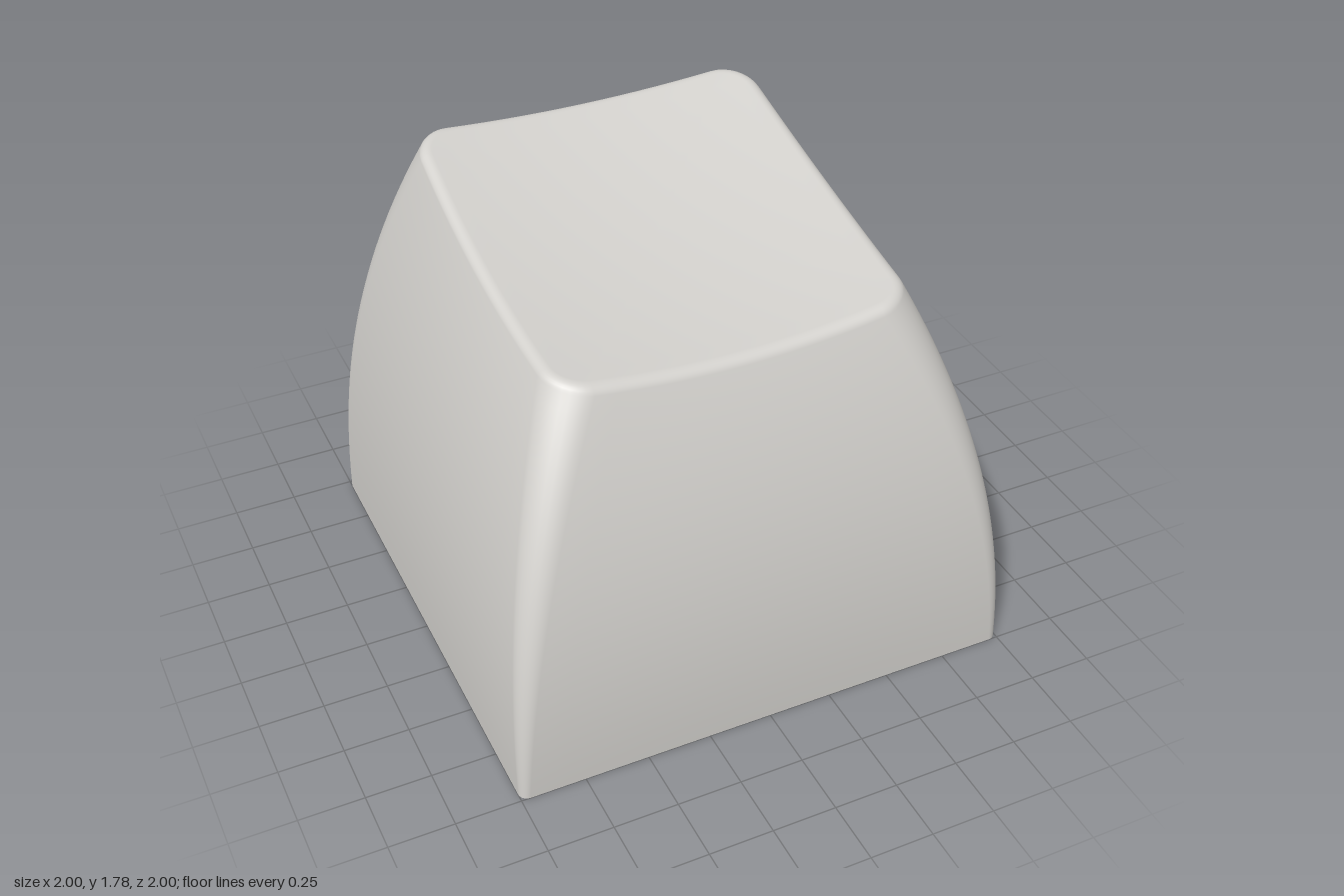
import * as THREE from 'three';

const plastic = new THREE.MeshStandardMaterial({ color: 0xd2d0cc });
plastic.name = 'warm grey plastic';

const CEILING = 1.2, SOCKET = 0.44, STEM_R = 0.305;

// Height of the dished, sloping top
const topY = (x, z) => 1.555 + 0.11 * x * x + 0.10 * z * z - 0.22 * z;

// Rounded square (half width w, corner radius r) with slightly bulging sides
function outline(w, r, bulge) {
  const pts = [], arc = 8, side = 14, c = w - r;
  for (let q = 0; q < 4; q++) {
    const local = [];
    for (let i = 0; i < side; i++) local.push([w, -c + (2 * c * i) / side]);
    for (let i = 0; i < arc; i++) {
      const a = (i / arc) * Math.PI / 2;
      local.push([c + r * Math.cos(a), c + r * Math.sin(a)]);
    }
    const cs = [1, 0, -1, 0][q], sn = [0, 1, 0, -1][q];
    for (const [u, v] of local) {
      const x = u * cs - v * sn, z = u * sn + v * cs;
      pts.push([
        x * (1 + bulge * (1 - (z / w) ** 2)),
        z * (1 + bulge * (1 - (x / w) ** 2)),
      ]);
    }
  }
  return pts;
}

// Skin joining rings of equal point count
function loft(rings) {
  const n = rings[0].length, index = [];
  for (let k = 0; k < rings.length - 1; k++) {
    for (let i = 0; i < n; i++) {
      const j = (i + 1) % n;
      const a = k * n + i, b = k * n + j, c = a + n, d = b + n;
      index.push(a, c, b, b, c, d);
    }
  }
  const g = new THREE.BufferGeometry();
  g.setAttribute('position', new THREE.Float32BufferAttribute(rings.flat(2), 3));
  g.setIndex(index);
  g.computeVertexNormals();
  return g;
}

function outerShell() {
  const rings = [], W = 0.695, R = 0.14, B = 0.028, f = 0.05, a0 = 0.42;
  const rim = outline(W, R, B);

  // Curved flanks
  const levels = 28;
  for (let k = 0; k <= levels; k++) {
    const t = k / levels;
    const ring = outline(1 - (1 - W) * t ** 2.2, 0.035 + (R - 0.035) * t, B * t);
    rings.push(ring.map(([x, z], i) =>
      [x, t * (topY(...rim[i]) - f * (1 - Math.sin(a0))), z]));
  }
  // Soft rim around the top
  let inner = rim;
  for (let k = 1; k <= 7; k++) {
    const a = a0 + (Math.PI / 2 - a0) * (k / 7);
    const inset = f * (Math.cos(a0) - Math.cos(a));
    inner = outline(W - inset, R - inset, B);
    rings.push(inner.map(([x, z]) => [x, topY(x, z) - f * (1 - Math.sin(a)), z]));
  }
  // Dish, closing on the centre
  for (let k = 1; k <= 14; k++) {
    const s = 1 - k / 14;
    rings.push(inner.map(([x, z]) => [x * s, topY(x * s, z * s), z * s]));
  }
  return loft(rings);
}

export function createModel() {
  const model = new THREE.Group();
  model.name = 'keycap';
  const add = (name, geometry, y = 0) => {
    const m = new THREE.Mesh(geometry, plastic);
    m.name = name;
    m.position.y = y;
    model.add(m);
  };

  add('outerShell', outerShell());

  // Flat underside edge of the walls
  const edge = new THREE.Shape(outline(1, 0.035, 0).map(([x, z]) => new THREE.Vector2(x, z)));
  const h = 0.88;
  edge.holes.push(new THREE.Path(
    [[-h, -h], [-h, h], [h, h], [h, -h]].map(p => new THREE.Vector2(...p))));
  add('bottomEdge', new THREE.ShapeGeometry(edge).rotateX(Math.PI / 2));

  // Hollow inside: four tapering walls facing inward, and a ceiling
  const inTop = 0.56;
  let walls = new THREE.CylinderGeometry(inTop * Math.SQRT2, h * Math.SQRT2, CEILING, 4, 1, true)
    .rotateY(Math.PI / 4).scale(-1, 1, 1).toNonIndexed();
  walls.computeVertexNormals();
  add('innerWalls', walls, CEILING / 2);
  add('innerCeiling', new THREE.PlaneGeometry(inTop * 2, inTop * 2).rotateX(Math.PI / 2), CEILING);

  // Mounting stem with a cross-shaped socket
  const stem = new THREE.Shape().absarc(0, 0, STEM_R, 0, Math.PI * 2);
  const l = 0.225, s = 0.07;
  const cross = [[l, -s], [l, s], [s, s], [s, l], [-s, l], [-s, s],
    [-l, s], [-l, -s], [-s, -s], [-s, -l], [s, -l], [s, -s]];
  stem.holes.push(new THREE.Path(cross.map(p => new THREE.Vector2(...p))));
  add('stemSocket', new THREE.ExtrudeGeometry(stem,
    { depth: SOCKET, bevelEnabled: false, curveSegments: 16 }).rotateX(-Math.PI / 2));
  const upper = CEILING - SOCKET;
  const post = new THREE.CylinderGeometry(STEM_R, STEM_R, upper, 32).toNonIndexed();
  post.computeVertexNormals();
  add('stemPost', post, SOCKET + upper / 2);

  return model;
}
